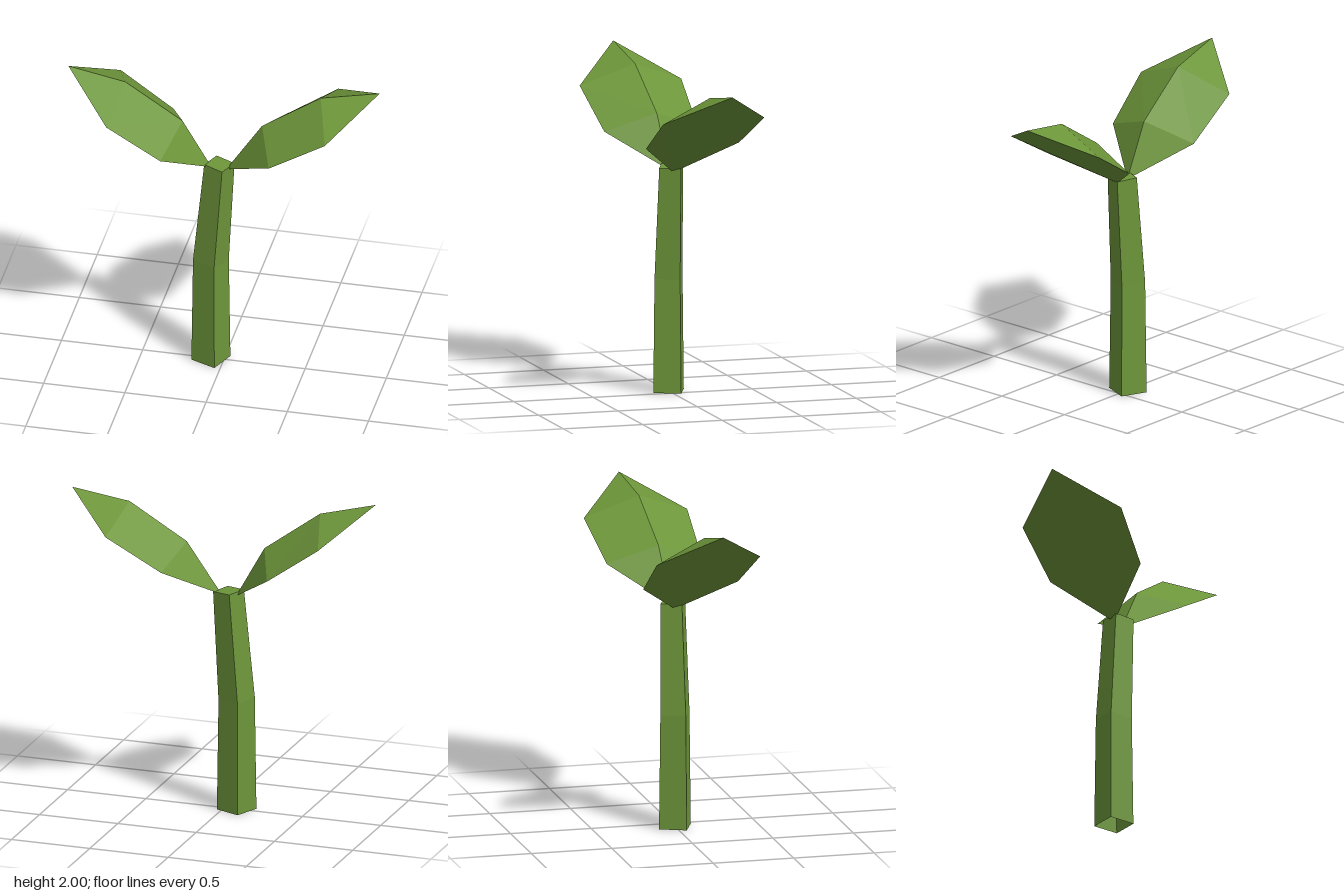
import * as THREE from 'three';

// Flat-shaded mesh from corner points and polygon faces (fanned into triangles)
function facetedMesh(name, points, faces, material) {
  const pos = [];
  for (const f of faces) {
    for (let i = 1; i < f.length - 1; i++) {
      pos.push(...points[f[0]], ...points[f[i]], ...points[f[i + 1]]);
    }
  }
  const geo = new THREE.BufferGeometry();
  geo.setAttribute('position', new THREE.Float32BufferAttribute(pos, 3));
  geo.computeVertexNormals();
  const mesh = new THREE.Mesh(geo, material);
  mesh.name = name;
  return mesh;
}

// Leaf corners: 0 base, 1-2 front edge, 3 tip, 4-5 back edge, 6-7 raised midrib
const LEAF_FACES = [
  [0, 1, 6], [1, 2, 7, 6], [2, 3, 7],   // front half of the top
  [0, 6, 5], [6, 7, 4, 5], [7, 3, 4],   // back half of the top
  [0, 5, 4, 3, 2, 1],                   // flat underside
];

export function createModel() {
  const group = new THREE.Group();
  group.name = 'sprout';
  const green = new THREE.MeshStandardMaterial({ color: 0x6d963a, flatShading: true, side: THREE.DoubleSide });
  green.name = 'leafGreen';

  // Stem: tapering, bent square tube, open below and capped on top
  const corners = [[0.045, 0.11], [0.11, -0.045], [-0.045, -0.11], [-0.11, 0.045]];
  const rings = [
    { x: -0.08, y: 0, scale: 1, tilt: 0 },
    { x: -0.08, y: 0.7, scale: 0.92, tilt: 0.08 },
    { x: -0.028, y: 1.38, scale: 0.78, tilt: 0.06 },
  ];
  const points = [];
  for (const r of rings) {
    for (const [cx, cz] of corners) {
      points.push([r.x + cx * r.scale, r.y - cx * r.scale * r.tilt, cz * r.scale]);
    }
  }
  const faces = [[8, 9, 10, 11]];
  for (let k = 0; k < 2; k++) {
    for (let i = 0; i < 4; i++) {
      const j = (i + 1) % 4, b = k * 4;
      faces.push([b + i, b + j, b + 4 + j, b + 4 + i]);
    }
  }
  group.add(facetedMesh('stem', points, faces, green));

  // Leaves: both drawn towards +x, the second turned half round
  const leftLeaf = facetedMesh('leftLeaf', [
    [0.015, 1.35, 0], [0.335, 1.56, 0.272], [0.68, 1.765, 0.272], [0.94, 1.955, -0.085],
    [0.62, 1.765, -0.385], [0.285, 1.56, -0.33], [0.23, 1.67, -0.022], [0.585, 1.895, -0.053],
  ], LEAF_FACES, green);
  const rightLeaf = facetedMesh('rightLeaf', [
    [0.075, 1.35, 0], [0.37, 1.56, 0.272], [0.695, 1.79, 0.272], [0.94, 2, -0.08],
    [0.64, 1.79, -0.385], [0.32, 1.56, -0.33], [0.25, 1.667, -0.02], [0.595, 1.915, -0.05],
  ], LEAF_FACES, green);
  rightLeaf.rotation.y = Math.PI;
  group.add(leftLeaf, rightLeaf);

  return group;
}
